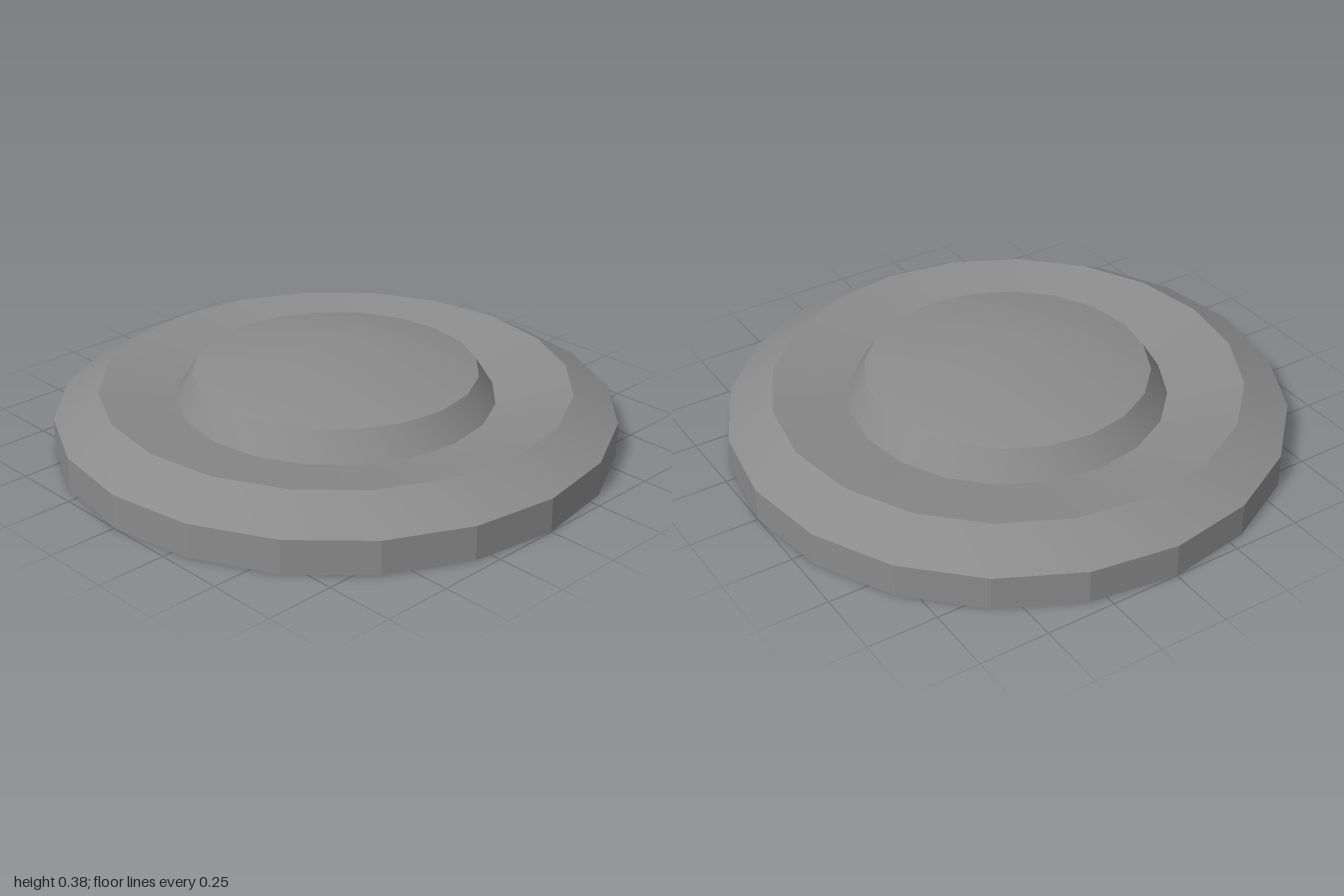
import * as THREE from 'three';
import { toCreasedNormals } from 'three/addons/utils/BufferGeometryUtils.js';

const SIDES = 20;

export function createModel() {
  const group = new THREE.Group();
  const material = new THREE.MeshStandardMaterial({ color: 0x8b8b8b });

  // Turns a profile of [radius, height] points around the y axis;
  // edges sharper than the crease angle (degrees) stay hard
  const turned = (name, crease, profile) => {
    const points = profile.map(([r, y]) => new THREE.Vector2(r, y));
    const lathe = new THREE.LatheGeometry(points, SIDES);
    const geometry = toCreasedNormals(lathe, THREE.MathUtils.degToRad(crease));
    const mesh = new THREE.Mesh(geometry, material);
    mesh.name = name;
    group.add(mesh);
  };

  // Flat underside and upright faceted wall
  turned('base', 10, [[0, 0], [1, 0], [1, 0.123]]);
  // Sloping outer bevel
  turned('bevel', 30, [[1, 0.123], [0.84, 0.214]]);
  // Ring dished towards the centre
  turned('dishedRing', 30, [[0.84, 0.214], [0.57, 0.163]]);
  // Raised centre with a shallow, smoothly shaded point
  turned('centreCap', 30, [[0.57, 0.163], [0.508, 0.263], [0, 0.375]]);

  return group;
}
